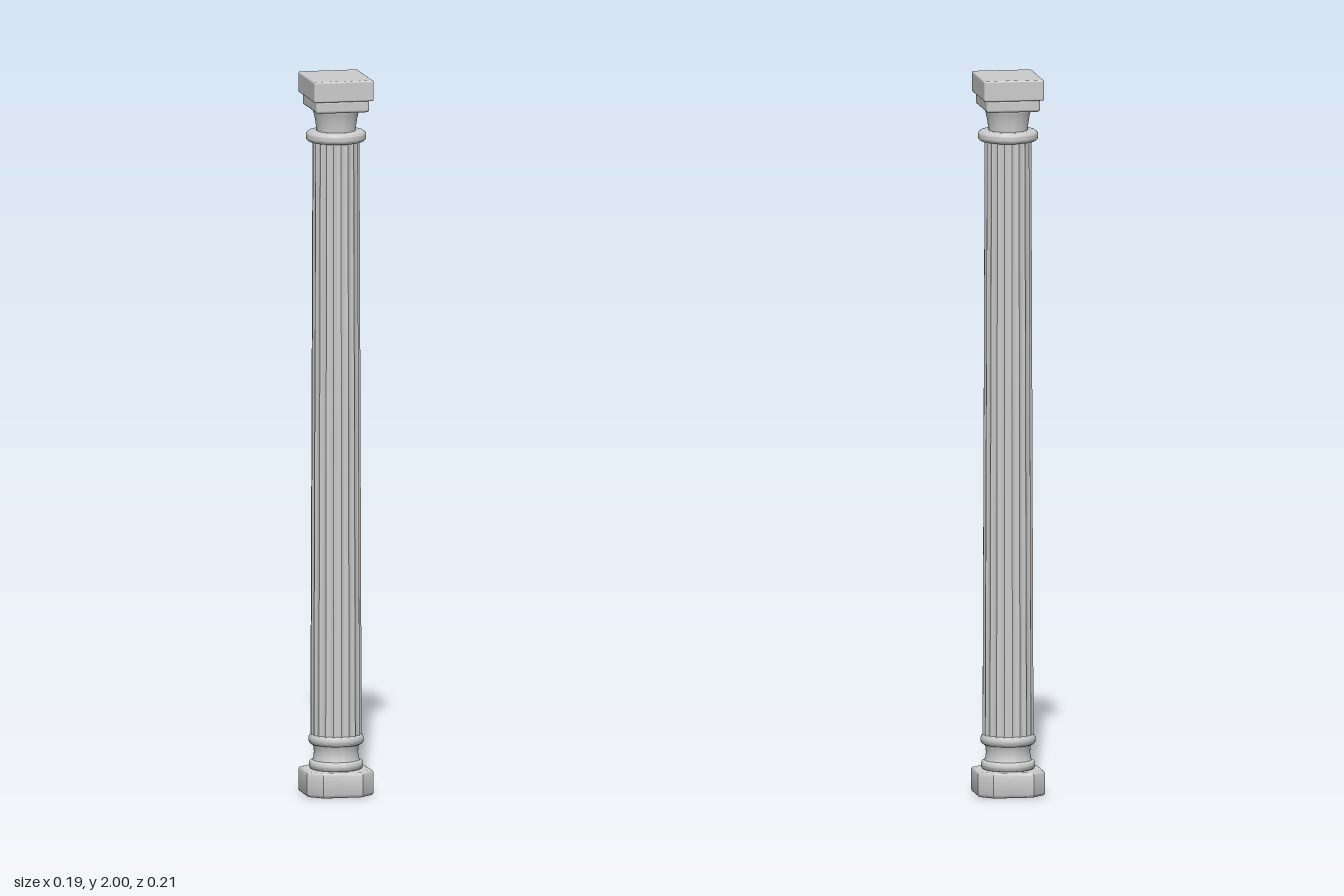
import * as THREE from 'three';
import { toCreasedNormals } from 'three/addons/utils/BufferGeometryUtils.js';
import { RoundedBoxGeometry } from 'three/addons/geometries/RoundedBoxGeometry.js';

export function createModel() {
  const group = new THREE.Group();
  const material = new THREE.MeshStandardMaterial({ color: 0xcccccc });

  const add = (name, geometry, y = 0) => {
    const mesh = new THREE.Mesh(geometry, material);
    mesh.name = name;
    mesh.position.y = y;
    group.add(mesh);
  };
  const turned = (points) => toCreasedNormals(
    new THREE.LatheGeometry(points.map(([r, y]) => new THREE.Vector2(r, y)), 48), 0.6);
  // Round moulding with softened edges
  const ring = (r, y0, y1) => {
    const b = (y1 - y0) * 0.4;
    const points = [[0.03, y0]];
    for (let i = 0; i <= 4; i++) {
      const a = (i / 4) * Math.PI / 2;
      points.push([r - b + b * Math.sin(a), y0 + b - b * Math.cos(a)]);
    }
    for (let i = 0; i <= 4; i++) {
      const a = (i / 4) * Math.PI / 2;
      points.push([r - b + b * Math.cos(a), y1 - b + b * Math.sin(a)]);
    }
    points.push([0.03, y1]);
    return turned(points);
  };

  // Eight-sided base: a square with cut corners and bevelled edges
  const h = 0.094, c = 0.056, bevel = 0.008;
  const outline = new THREE.Shape([
    [h, -c], [h, c], [c, h], [-c, h], [-h, c], [-h, -c], [-c, -h], [c, -h],
  ].map(([x, y]) => new THREE.Vector2(x, y)));
  const base = new THREE.ExtrudeGeometry(outline, {
    depth: 0.07 - 2 * bevel, bevelThickness: bevel, bevelSize: bevel,
    bevelOffset: -bevel, bevelSegments: 3,
  });
  base.rotateX(-Math.PI / 2);
  add('base', toCreasedNormals(base, 0.6), bevel);

  // Foot mouldings
  add('lowerFootRing', ring(0.075, 0.069, 0.095));
  add('footNeck', turned([[0.067, 0.09], [0.063, 0.1], [0.061, 0.115], [0.062, 0.13], [0.066, 0.142]]));
  add('upperFootRing', ring(0.076, 0.138, 0.167));

  // Tapered shaft with shallow rounded flutes
  const flutes = 20, steps = 8;
  const shaft = new THREE.CylinderGeometry(1, 1, 1.67, flutes * steps, 8, true);
  const pos = shaft.attributes.position;
  for (let i = 0; i < pos.count; i++) {
    const angle = Math.atan2(pos.getZ(i), pos.getX(i));
    const t = pos.getY(i) / 1.67 + 0.5;
    const groove = 0.004 * Math.abs(Math.sin(angle * flutes / 2));
    const r = 0.071 - 0.006 * t - groove;
    pos.setX(i, Math.cos(angle) * r);
    pos.setZ(i, Math.sin(angle) * r);
  }
  add('flutedShaft', toCreasedNormals(shaft, 0.6), 0.99);

  // Capital: collar, flaring neck and two stacked slabs
  add('collar', ring(0.083, 1.818, 1.849));
  add('capitalNeck', turned([
    [0.054, 1.84], [0.055, 1.86], [0.058, 1.88], [0.062, 1.898], [0.066, 1.908], [0.066, 1.915],
  ]));
  add('lowerSlab', new RoundedBoxGeometry(0.15, 0.036, 0.182, 3, 0.008), 1.927);
  add('topSlab', new RoundedBoxGeometry(0.168, 0.058, 0.208, 3, 0.005), 1.971);

  return group;
}
